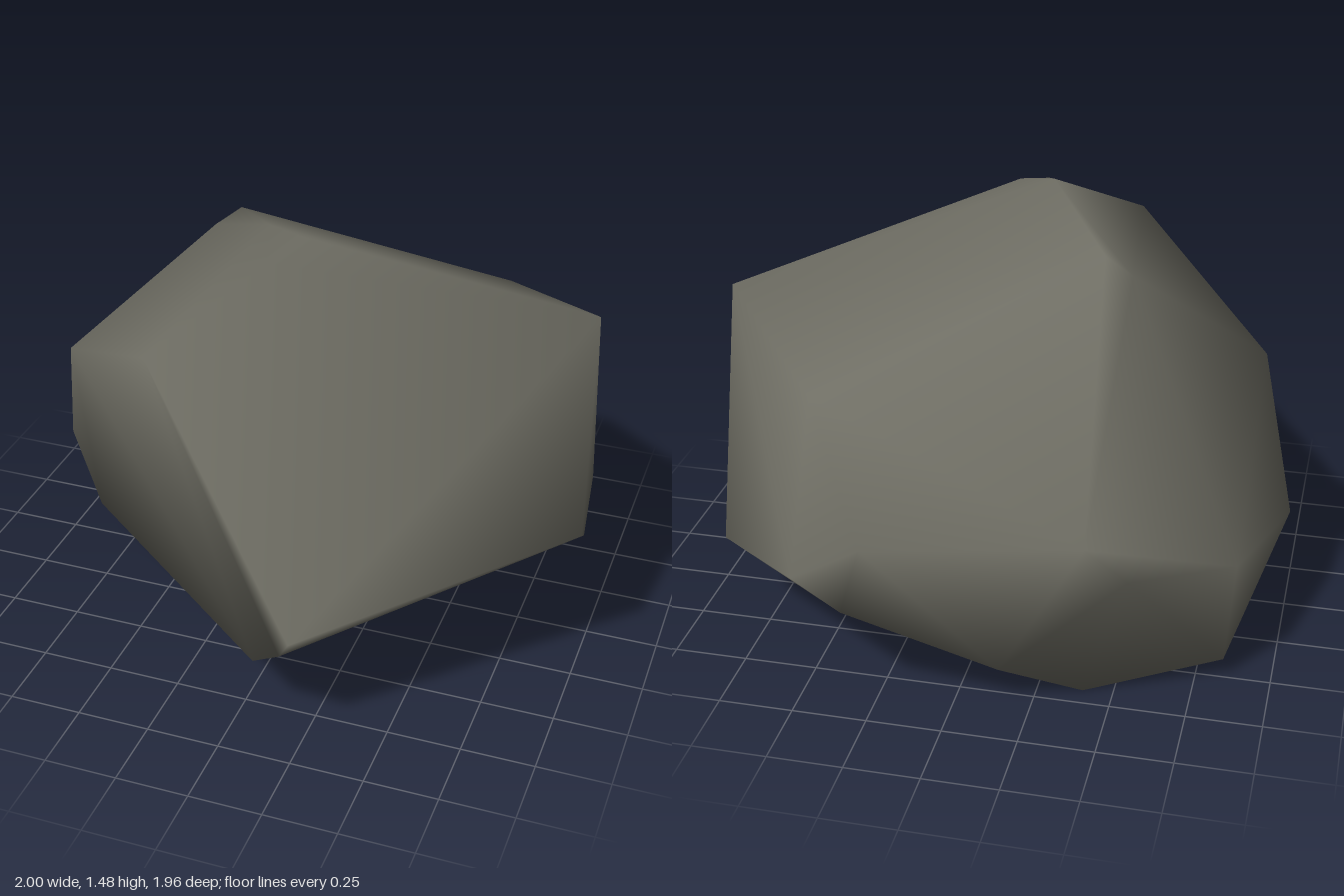
import * as THREE from 'three';
import { ConvexGeometry } from 'three/addons/geometries/ConvexGeometry.js';
import { mergeVertices } from 'three/addons/utils/BufferGeometryUtils.js';

export function createModel() {
  const group = new THREE.Group();
  group.name = 'rock';
  const stone = new THREE.MeshStandardMaterial({ color: 0x6f6e64 });
  stone.name = 'stone grey';

  // Corners of the boulder, from the summit down to the base
  const corners = [
    // summit
    [-0.12, 1.475, 0.15], [0, 1.46, 0.17], [-0.07, 1.42, 0.31],
    // shoulders
    [-0.36, 1.35, -0.2], [-0.45, 1.28, -0.18], [-0.35, 1.21, 0.67],
    [0.92, 1.14, -0.21], [0.5, 0.98, -0.68], [-0.87, 0.89, 0.17],
    // waist
    [0.24, 0.46, 0.98], [0.21, 0.41, 0.98], [1, 0.58, 0.26],
    [0.26, 0.62, -0.98], [-0.43, 0.65, -0.87], [-0.56, 0.52, -0.82],
    [-0.87, 0.45, -0.53], [-1, 0.4, -0.04],
    [0.54, 0.4, -0.84], [0.89, 0.32, -0.51], [0.34, 0.36, -0.94],
    // foot and base
    [0.06, 0.24, 0.83], [0.92, 0.23, -0.25], [-0.87, 0.14, 0.02],
    [-0.15, 0.15, -0.84], [-0.84, 0.07, -0.5],
    [0.52, 0.02, -0.17], [-0.4, 0, -0.68],
  ].map((p) => new THREE.Vector3(...p));

  // Wrap the corners in a hull, then weld it for smooth shading
  const hull = new ConvexGeometry(corners);
  hull.deleteAttribute('normal');
  const geometry = mergeVertices(hull);
  geometry.computeVertexNormals();

  const boulder = new THREE.Mesh(geometry, stone);
  boulder.name = 'boulder';
  group.add(boulder);
  return group;
}
